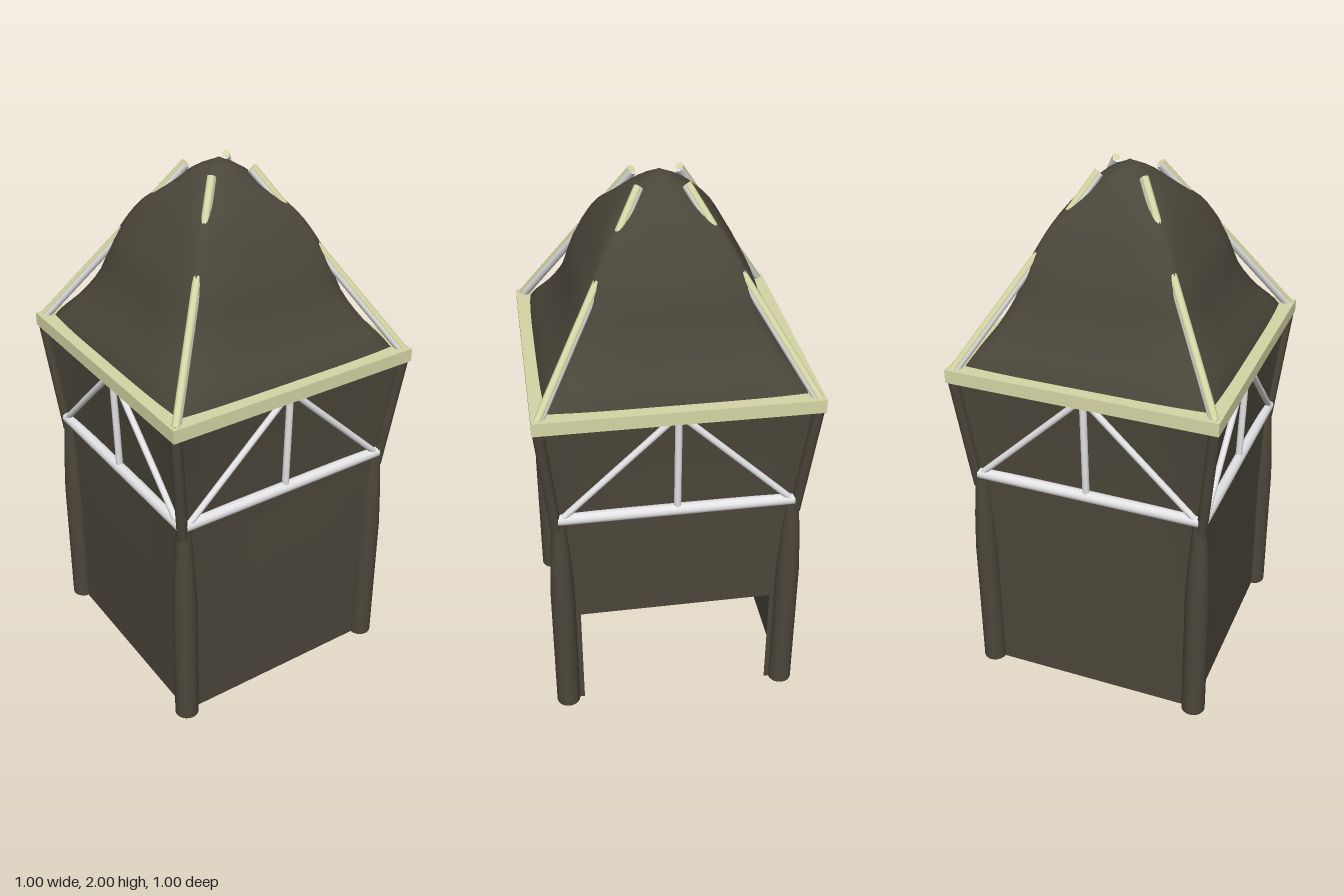
import * as THREE from 'three';
import { mergeGeometries, mergeVertices } from 'three/addons/utils/BufferGeometryUtils.js';

// fabric profiles: [height, half-width at mid side, half-width at corner]
const WALL = [[0, .427, .427], [.55, .428, .428], [.87, .425, .436], [1.08, .432, .456], [1.32, .446, .48]];
const ROOF = [[1.325, .462, .455], [1.38, .437, .42], [1.45, .392, .365], [1.55, .343, .31], [1.66, .305, .278],
  [1.75, .255, .24], [1.83, .207, .193], [1.9, .15, .122], [1.96, .08, .06], [2, 0, 0]];

export function createModel() {
  const group = new THREE.Group();
  const mat = (name, color, side = THREE.FrontSide) => {
    const m = new THREE.MeshStandardMaterial({ color, side });
    m.name = name;
    return m;
  };
  const fabric = mat('dark canvas', 0x4b463a, THREE.DoubleSide);
  const cream = mat('cream wood', 0xd5d7a6);
  const white = mat('pale metal', 0xe4e4e6);

  const add = (parent, name, geo, material) => {
    const m = new THREE.Mesh(geo, material);
    m.name = name;
    parent.add(m);
    return m;
  };

  // height and half-widths of a profile at a given height
  const profileAt = (rows, y) => {
    const i = Math.max(1, rows.findIndex(r => r[0] >= y - 1e-6));
    const [a, b] = [rows[i - 1], rows[i]];
    return new THREE.Vector3(...a).lerp(new THREE.Vector3(...b), (y - a[0]) / (b[0] - a[0]));
  };

  // fabric panel facing +z; s runs across the side from -1 to 1
  const panel = (sectionAt, s0 = -1, s1 = 1) => {
    const nx = 20, ny = 24, pos = [], idx = [];
    for (let j = 0; j <= ny; j++) {
      const p = sectionAt(j / ny);
      for (let i = 0; i <= nx; i++) {
        const s = s0 + (s1 - s0) * i / nx, h = p.y + (p.z - p.y) * s ** 4;
        pos.push(s * p.z, p.x, h);
        if (i < nx && j < ny) {
          const k = j * (nx + 1) + i, u = k + nx + 1;
          idx.push(k, k + 1, u + 1, k, u + 1, u);
        }
      }
    }
    const g = new THREE.BufferGeometry();
    g.setAttribute('position', new THREE.Float32BufferAttribute(pos, 3));
    g.setIndex(idx);
    g.computeVertexNormals();
    return g;
  };
  const wallPanel = (y0, y1, s0, s1) => panel(t => profileAt(WALL, y0 + (y1 - y0) * t), s0, s1);

  // round bar between two points
  const bar = (parent, name, a, b, r, material) => {
    const A = new THREE.Vector3(...a), B = new THREE.Vector3(...b), d = B.clone().sub(A);
    const m = add(parent, name, new THREE.CylinderGeometry(r, r, d.length(), 12), material);
    m.position.copy(A).add(B).multiplyScalar(.5);
    m.quaternion.setFromUnitVectors(new THREE.Vector3(0, 1, 0), d.normalize());
  };

  // roof: four panels joined into one smooth skin
  const roofCurve = new THREE.CatmullRomCurve3(ROOF.map(r => new THREE.Vector3(...r)));
  const roofParts = [0, 1, 2, 3].map(k => {
    const g = panel(t => roofCurve.getPoint(t)).rotateY(k * Math.PI / 2);
    g.deleteAttribute('normal');
    return g;
  });
  const roof = mergeVertices(mergeGeometries(roofParts), 1e-4);
  roof.computeVertexNormals();
  add(group, 'roof', roof, fabric);

  for (let k = 0; k < 4; k++) {
    const side = new THREE.Group();
    side.name = ['front', 'left', 'back', 'right'][k] + 'Side';
    side.rotation.y = k * Math.PI / 2;
    group.add(side);

    // walls, with a doorway on the +x side
    if (k === 1) {
      add(side, 'wallAboveDoor', wallPanel(.43, 1.32), fabric);
      add(side, 'doorSide', wallPanel(0, .43, -1, -.847), fabric);
      add(side, 'doorSide', wallPanel(0, .43, .847, 1), fabric);
    } else add(side, 'wall', wallPanel(0, 1.32), fabric);

    // eave beam
    add(side, 'eaveBeam', new THREE.BoxGeometry(1, .05, .06), cream).position.set(0, 1.315, .47);

    // wall truss
    bar(side, 'trussBar', [-.428, .893, .437], [.428, .893, .437], .022, white);
    bar(side, 'trussPost', [0, .9, .438], [0, 1.3, .449], .013, white);
    for (const s of [-1, 1])
      bar(side, 'trussDiagonal', [s * .412, .9, .442], [0, 1.3, .449], .012, white);

    // corner post: wide sleeve narrowing to a slim, outward-leaning upper part
    const sleeve = [[0, 0], [.045, 0], [.045, .001], [.045, .55], [.038, .7], [.025, .87]].map(p => new THREE.Vector2(...p));
    add(side, 'cornerSleeve', new THREE.LatheGeometry(sleeve, 20), fabric).position.set(.425, 0, .425);
    bar(side, 'upperPost', [.434, .84, .434], [.48, 1.3, .48], .02, fabric);

    // hip pole: cream strip over a pale pole, dipping under the roof midway
    bar(side, 'hipPole', [.474, 1.33, .474], [.08, 1.968, .08], .016, white);
    bar(side, 'hipStrip', [.478, 1.335, .478], [.083, 1.973, .083], .0145, cream);
  }

  // peak cap
  add(group, 'peakCap', new THREE.SphereGeometry(.016, 12, 8), fabric).position.y = 1.984;
  return group;
}
